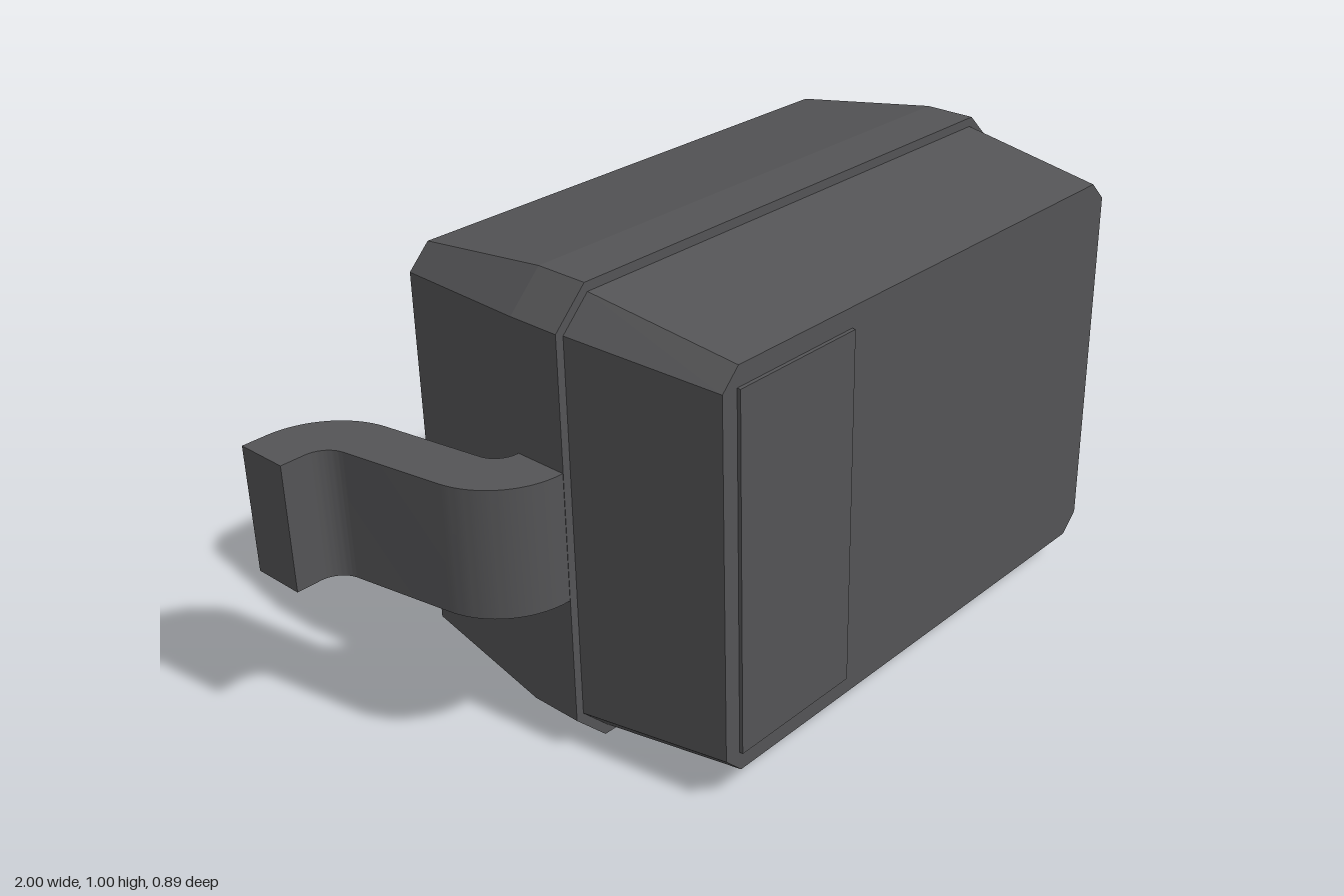
import * as THREE from 'three';
import { toCreasedNormals } from 'three/addons/utils/BufferGeometryUtils.js';

const rad = THREE.MathUtils.degToRad;

// Rectangle with chamfered corners, counter-clockwise seen from +z
function section(z, w, h, c) {
  return [
    [w, -h + c], [w, h - c], [w - c, h], [-w + c, h],
    [-w, h - c], [-w, -h + c], [-w + c, -h], [w - c, -h],
  ].map(([x, y]) => [x, y + 0.5, z]);
}

// Closed flat-sided solid through sections ordered from back to front
function loft(sections) {
  const pos = [];
  const tri = (a, b, c) => pos.push(...a, ...b, ...c);
  for (let s = 0; s < sections.length - 1; s++) {
    const a = sections[s], b = sections[s + 1];
    for (let i = 0; i < 8; i++) {
      const j = (i + 1) % 8;
      tri(a[i], a[j], b[j]);
      tri(a[i], b[j], b[i]);
    }
  }
  const back = sections[0], front = sections[sections.length - 1];
  for (let i = 1; i < 7; i++) {
    tri(front[0], front[i], front[i + 1]);
    tri(back[0], back[i + 1], back[i]);
  }
  const geo = new THREE.BufferGeometry();
  geo.setAttribute('position', new THREE.Float32BufferAttribute(pos, 3));
  geo.computeVertexNormals();
  return geo;
}

// S-bent flat strip, drawn in x and z, extruded along y
function leadGeometry() {
  const s = new THREE.Shape();
  s.moveTo(0.6, 0.095);
  s.lineTo(0.68, 0.095);
  s.absarc(0.68, -0.08, 0.175, rad(90), rad(10), true);
  s.absarc(0.945, -0.27, 0.055, rad(190), rad(270), false);
  s.lineTo(1, -0.325);
  s.lineTo(1, -0.445);
  s.absarc(0.945, -0.27, 0.175, rad(270), rad(190), true);
  s.absarc(0.68, -0.08, 0.055, rad(10), rad(90), false);
  s.lineTo(0.6, -0.025);
  const geo = new THREE.ExtrudeGeometry(s, { depth: 0.28, bevelEnabled: false, curveSegments: 12 });
  geo.translate(0, 0, -0.14);
  geo.rotateX(Math.PI / 2);
  return toCreasedNormals(geo, rad(30));
}

export function createModel() {
  const model = new THREE.Group();
  model.name = 'twoLeadComponent';
  const grey = new THREE.MeshStandardMaterial({ color: 0x545456 });
  grey.name = 'darkGrey';

  const add = (name, geo) => {
    const mesh = new THREE.Mesh(geo, grey);
    mesh.name = name;
    model.add(mesh);
    return mesh;
  };

  // Two halves of the case, the front one slightly inset at the seam
  add('backCase', loft([
    section(-0.363, 0.63, 0.45, 0.05),
    section(-0.022, 0.678, 0.5, 0.076),
    section(0.096, 0.678, 0.5, 0.076),
  ]));
  add('frontCase', loft([
    section(0.096, 0.66, 0.48, 0.065),
    section(0.435, 0.613, 0.433, 0.042),
  ]));

  // Raised band at one end of the front face
  const band = add('polarityBand', new THREE.BoxGeometry(0.32, 0.78, 0.009));
  band.position.set(-0.415, 0.5, 0.4385);

  // Bent leads, one turned half round for the other end
  const lead = leadGeometry();
  add('leftLead', lead).position.y = 0.5;
  const right = add('rightLead', lead);
  right.position.y = 0.5;
  right.rotation.z = Math.PI;

  return model;
}
